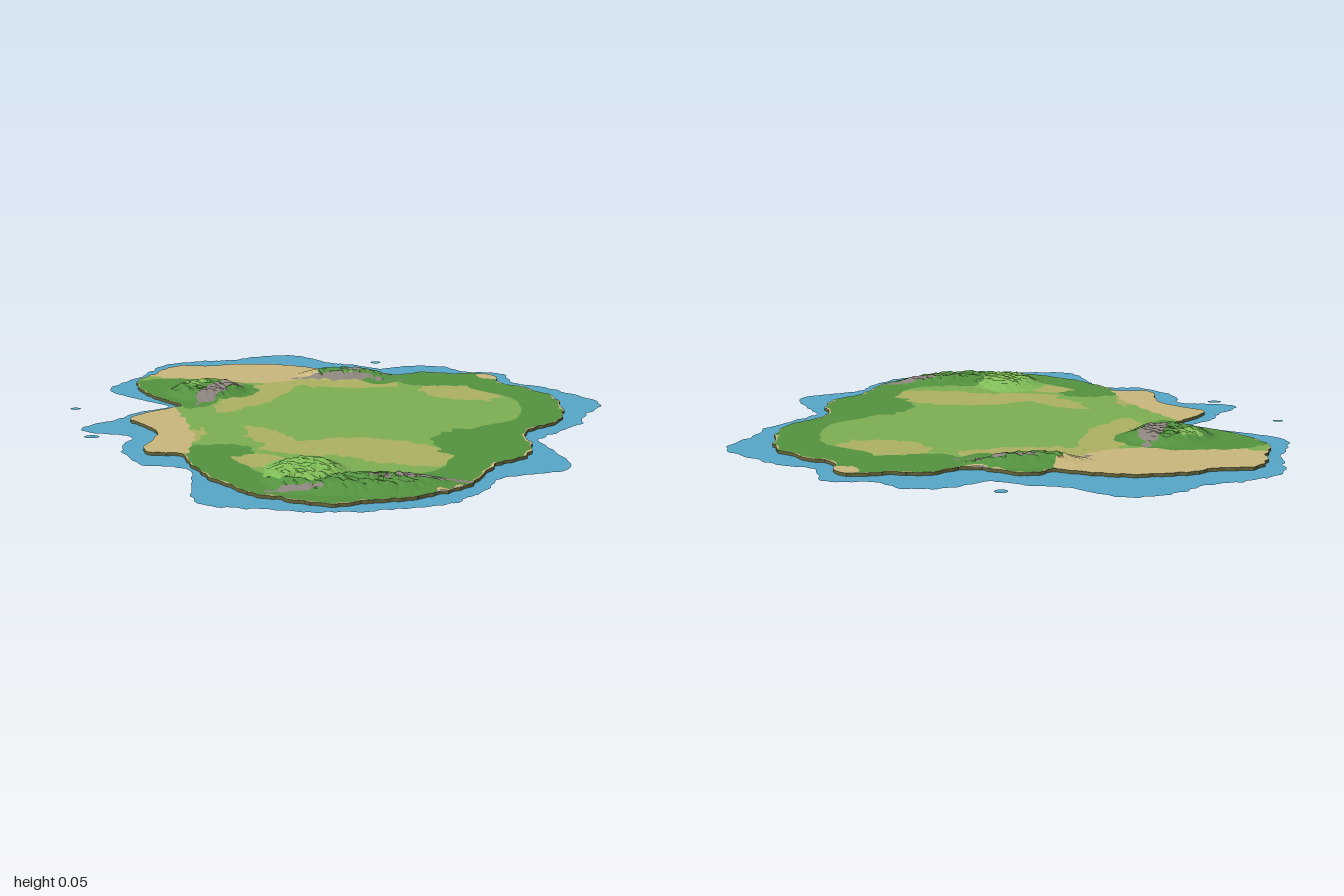
import * as THREE from 'three';

const LAND_Y = 0.011, CELLS = 136, HALF = 1.03;
const COLORS = {
  water: 0x56a6c8, sand: 0xcab67c, meadow: 0x7dae52, olive: 0xadb163, forest: 0x53923f,
  hillGrass: 0x7fbc56, rock: 0x8b837c, shoreEdge: 0x63653a,
};

// Lumpy value between about -1 and 1
const noise = (x, z) =>
  0.5 * Math.sin(31 * x + 5 * Math.sin(23 * z)) + 0.5 * Math.sin(43 * z + 4 * Math.sin(37 * x + 1));

// All fields take [x, z] and are positive inside.
// Coast: radii in hundredths at equal angles from +x towards +z, joined smoothly
const coast = (radii) => ([x, z]) => {
  const n = radii.length;
  const s = ((Math.atan2(z, x) / (2 * Math.PI) + 1) % 1) * n, i = Math.floor(s), t = s - i;
  const [a, b, c, d] = [i + n - 1, i, i + 1, i + 2].map((k) => radii[k % n]);
  const r = b + 0.5 * t * (c - a + t * (2 * a - 5 * b + 4 * c - d + t * (3 * (b - c) + d - a)));
  return r / 100 - Math.sqrt(x * x + z * z) + 0.01 * noise(x, z);
};
// Tilted ellipse in hundredths
const oval = ([cx, cz, rx, rz, tilt = 0], wobble = 0) => {
  const c = Math.cos(tilt), s = Math.sin(tilt);
  return ([x, z]) => {
    const dx = x * 100 - cx, dz = z * 100 - cz;
    const u = (dx * c + dz * s) / rx, v = (dz * c - dx * s) / rz;
    return (1 - Math.sqrt(u * u + v * v)) * Math.min(rx, rz) / 100 + wobble * noise(x, z);
  };
};
// Union of several ellipses with wavy edges
const patches = (wobble, ...list) => {
  const fields = list.map((e) => oval(e, wobble));
  return (p) => Math.max(...fields.map((f) => f(p)));
};

const land = coast([80, 70, 70, 75, 77, 74, 77, 83, 85, 87, 87, 90, 86, 84, 79, 75, 70, 67, 75, 69, 64, 69, 74, 65,
  61, 80, 94, 97, 101, 92, 88, 82, 76, 69, 72, 67, 65, 76, 80, 88, 82, 85, 88, 87, 84]);
const water = coast([88, 79, 75, 84, 93, 87, 83, 89, 93, 93, 94, 94, 94, 95, 95, 80, 73, 80, 81, 79, 74, 91, 80, 73,
  66, 97, 100, 102, 109, 106, 101, 102, 100, 86, 82, 77, 86, 91, 88, 96, 89, 95, 99, 103, 93]);

// Hills: footprint, width of the slope
const hills = [
  [oval([-52, -31, 17, 15]), 0.07],
  [oval([0, -59, 23, 8]), 0.055],
  [oval([-5, 65, 15, 19]), 0.08],
  [oval([17, 73, 30, 10, -0.15]), 0.055],
];
function height([x, z]) {
  const fall = 1 - 1.3 * Math.max(0, x - 0.2);
  const crag = 0.93 + 0.15 * noise(2 * x, 2 * z) - 0.17 * Math.abs(noise(1.5 * z + 3, 1.5 * x));
  const steps = hills.map(([foot, slope]) => THREE.MathUtils.smoothstep(foot([x, z]), 0, slope));
  return LAND_Y + 0.034 * fall * crag * Math.max(...steps);
}

// Ground cover, tested in this order; whatever is left is meadow
const beachBay = oval([-60, -10, 40, 55]);
const cover = [
  ['rock', patches(0.01, [-47, -29, 16, 4, 1.96], [0, -54, 20, 2], [7, -59.5, 9, 1.2], [32, 69, 14, 2, -0.15],
    [-7, 79.5, 11, 1.5])],
  ['hillGrass', patches(0.012, [-6, 61, 13, 15], [-57, -35, 5, 5])],
  ['sand', (p) => 0.006 - land(p) + 0.008 * noise(p[1], p[0])],
  ['forest', patches(0.01, [-62, -33, 30, 17], [-54, -20, 8, 13])],
  ['sand', patches(0.01, [-47, -68, 40, 24], [-62, 16, 36, 11, 1.22], [61, -63, 7, 5])],
  ['forest', patches(0.015, [51, 28, 16, 17], [-37, 43, 12, 8], [38, -57, 22, 11], [15, 75, 42, 14])],
  ['forest', (p) => Math.min(0.16 - land(p) + 0.015 * noise(p[0], p[1]), -beachBay(p))],
  ['olive', patches(0.015, [-32, -28, 26, 9, 2], [0, -48, 24, 8], [46, -36, 16, 10, 0.4], [-24, 52, 15, 7],
    [-20, 28, 17, 6, 0.9], [20, 39, 28, 12, 0.3], [-4, 37, 18, 8], [-49, 26, 5, 9])],
];

// Cut a convex polygon along the zero line of a field
function split(poly, field) {
  const val = poly.map(field), inside = [], outside = [], cut = [];
  poly.forEach((p, i) => {
    const j = (i + 1) % poly.length, q = poly[j];
    (val[i] >= 0 ? inside : outside).push(p);
    if ((val[i] >= 0) !== (val[j] >= 0)) {
      const t = val[i] / (val[i] - val[j]);
      const m = [p[0] + (q[0] - p[0]) * t, p[1] + (q[1] - p[1]) * t];
      inside.push(m);
      outside.push(m);
      cut.push(m);
    }
  });
  return { inside, outside, cut };
}

export function createModel() {
  const group = new THREE.Group();
  group.name = 'island';
  const data = {}, mats = {};
  for (const [name, color] of Object.entries(COLORS)) {
    data[name] = [];
    mats[name] = new THREE.MeshStandardMaterial({ color, side: THREE.DoubleSide });
    mats[name].name = name;
  }
  const fan = (name, poly, y) => {
    const p = poly.map((v) => [v[0], y(v), v[1]]);
    for (let i = 2; i < p.length; i++) data[name].push(...p[0], ...p[i - 1], ...p[i]);
  };

  function addTriangle(tri) {
    const shore = split(tri, land);
    if (shore.outside.length) fan('water', split(shore.outside, water).inside, () => 0);
    // Low bank around the shore
    if (shore.cut.length === 2) {
      const [[ax, az], [bx, bz]] = shore.cut;
      data.shoreEdge.push(ax, 0, az, bx, 0, bz, bx, LAND_Y, bz, ax, 0, az, bx, LAND_Y, bz, ax, LAND_Y, az);
    }
    let rest = shore.inside.length ? [shore.inside] : [];
    for (const [name, field] of cover) {
      const next = [];
      for (const poly of rest) {
        const s = split(poly, field);
        fan(name, s.inside, height);
        if (s.outside.length) next.push(s.outside);
      }
      rest = next;
    }
    rest.forEach((poly) => fan('meadow', poly, height));
  }

  // Terrain sheet
  const at = (i) => -HALF + (2 * HALF * i) / CELLS;
  for (let i = 0; i < CELLS; i++) {
    for (let j = 0; j < CELLS; j++) {
      const a = [at(i), at(j)], c = [at(i + 1), at(j + 1)];
      addTriangle([a, [at(i), at(j + 1)], c]);
      addTriangle([a, c, [at(i + 1), at(j)]]);
    }
  }
  for (const name in data) {
    const g = new THREE.BufferGeometry();
    g.setAttribute('position', new THREE.Float32BufferAttribute(data[name], 3));
    g.computeVertexNormals();
    const mesh = new THREE.Mesh(g, mats[name]);
    mesh.name = name;
    group.add(mesh);
  }

  // Detached shallows
  for (const [x, z, rx, rz] of [[0.115, -0.87, 0.022, 0.02], [-0.98, -0.075, 0.02, 0.015],
    [-0.83, 0.265, 0.028, 0.018]]) {
    const pool = new THREE.Mesh(new THREE.CircleGeometry(1, 9).rotateX(-Math.PI / 2), mats.water);
    pool.name = 'shallows';
    pool.scale.set(rx, 1, rz);
    pool.position.set(x, 0, z);
    group.add(pool);
  }
  return group;
}
